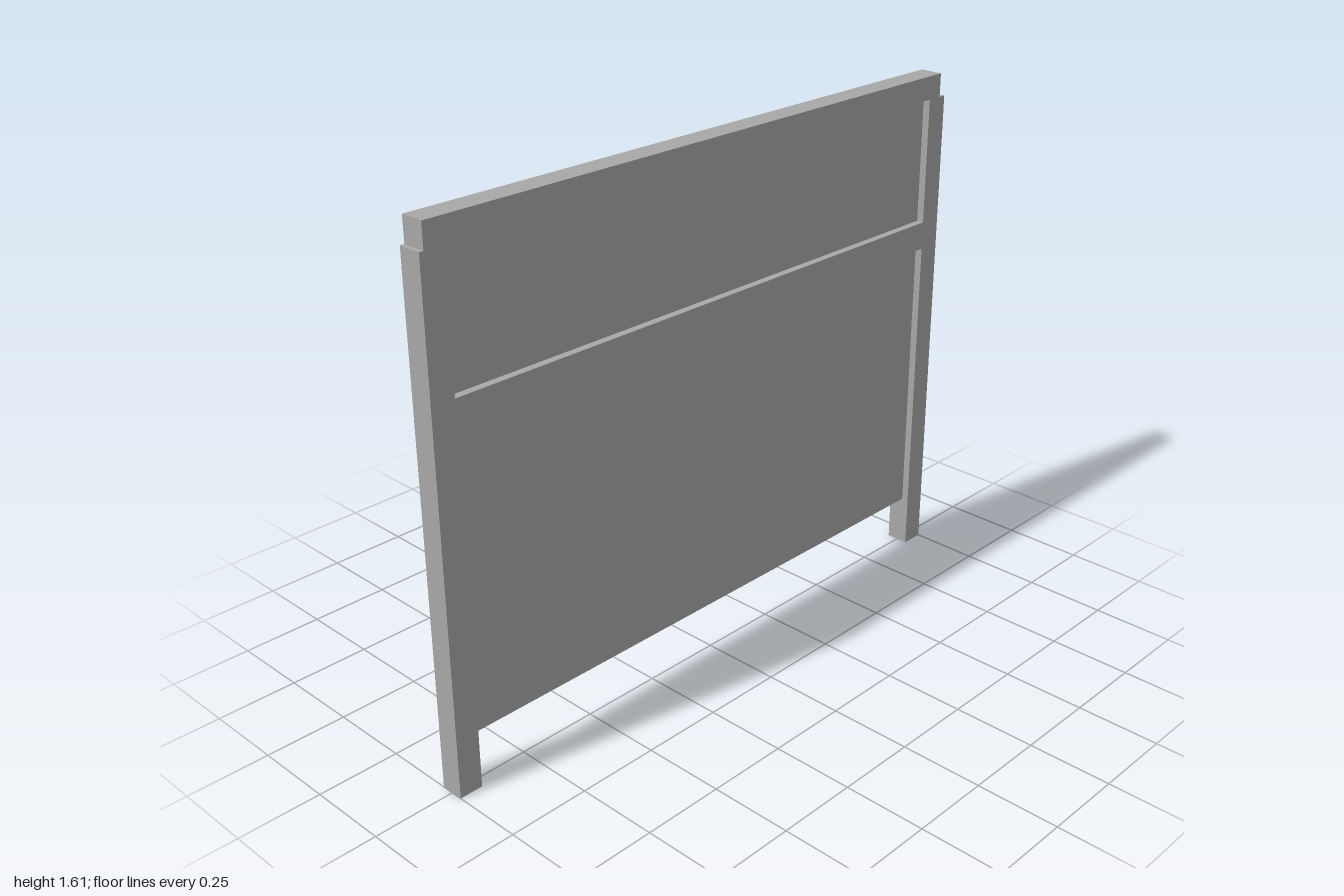
import * as THREE from 'three';

export function createModel() {
  const group = new THREE.Group();
  group.name = 'panelFrame';
  const grey = new THREE.MeshStandardMaterial({ color: 0xa8a8a8 });
  grey.name = 'plain grey';

  // Box given by its lower and upper limits on each axis
  function addBox(name, [x0, x1], [y0, y1], [z0, z1]) {
    const mesh = new THREE.Mesh(new THREE.BoxGeometry(x1 - x0, y1 - y0, z1 - z0), grey);
    mesh.position.set((x0 + x1) / 2, (y0 + y1) / 2, (z0 + z1) / 2);
    mesh.name = name;
    group.add(mesh);
  }

  const depth = [-0.036, 0.036];
  const postTop = 1.537;
  const postInner = 0.927;

  // Corner posts
  addBox('leftPost', [postInner, 1], [0, postTop], depth);
  addBox('rightPost', [-1, -postInner], [0, postTop], depth);

  // Top rail resting on the posts, set slightly in from their outer faces
  addBox('topRail', [-0.987, 0.976], [postTop, 1.61], depth);

  // Middle rail, lapped a little over the back of the posts
  addBox('middleRail', [-0.945, 0.976], [1.06, 1.147], [-0.038, 0.036]);

  // Thin recessed panel
  addBox('panel', [-postInner, postInner], [0.16, postTop], [0, 0.013]);

  return group;
}
